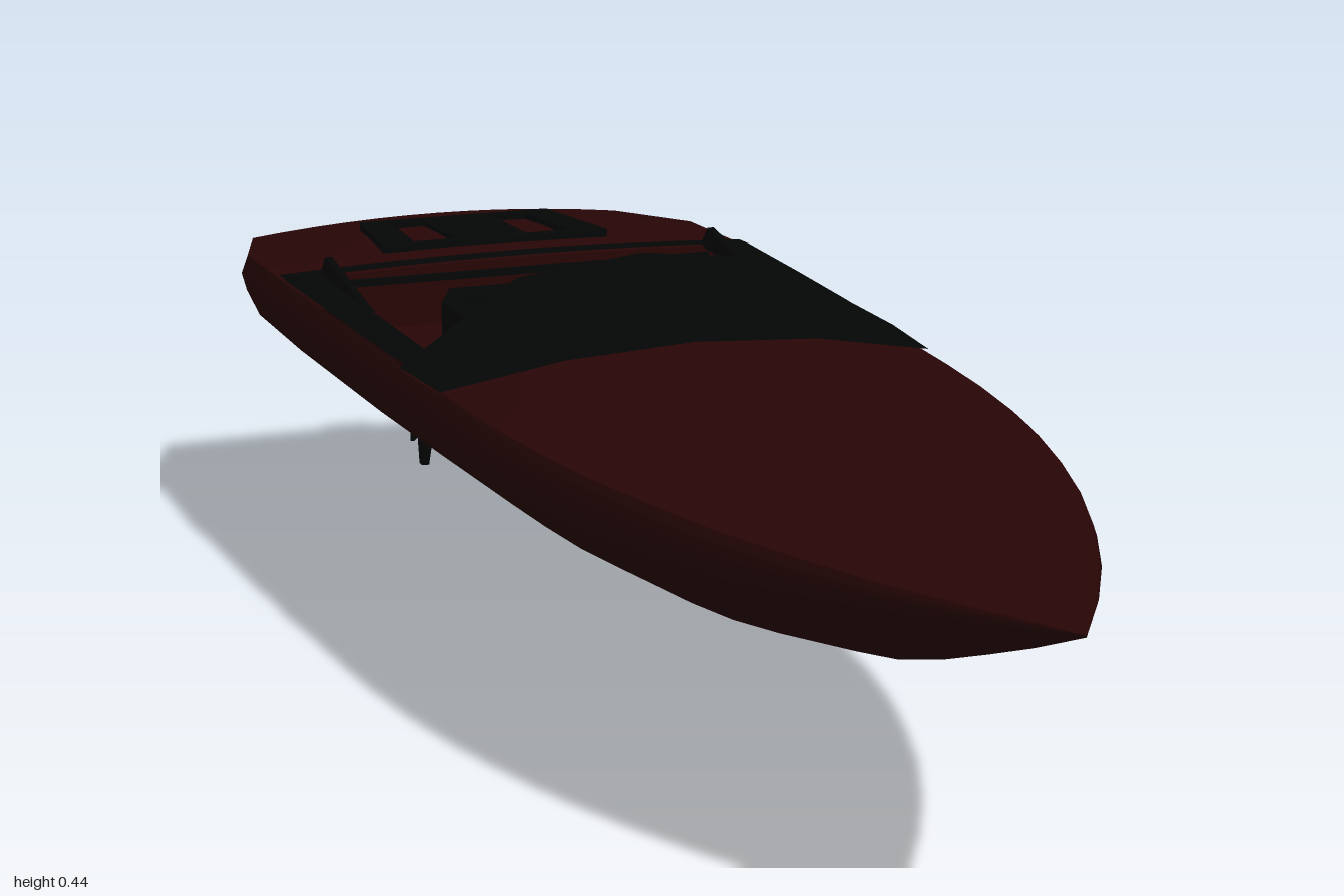
import * as THREE from 'three';

const red = new THREE.MeshStandardMaterial({ color: 0x270505, side: THREE.DoubleSide });
red.name = 'dark red paint';
const black = new THREE.MeshStandardMaterial({ color: 0x040505, side: THREE.DoubleSide });
black.name = 'black trim';

// Hull stations: z, half width, keel height, sheer height, deck crown
const STATIONS = [
  [-0.85, 0.238, 0.138, 0.322, 0.014], [-0.7, 0.285, 0.127, 0.335, 0.01],
  [-0.5, 0.29, 0.122, 0.342, 0.007], [-0.2, 0.284, 0.122, 0.343, 0.02],
  [0, 0.276, 0.124, 0.343, 0.033], [0.1, 0.273, 0.129, 0.343, 0.035],
  [0.2, 0.267, 0.135, 0.343, 0.033], [0.3, 0.256, 0.145, 0.343, 0.028],
  [0.4, 0.24, 0.158, 0.343, 0.022], [0.5, 0.217, 0.176, 0.343, 0.017],
  [0.6, 0.189, 0.198, 0.342, 0.012], [0.7, 0.153, 0.228, 0.342, 0.009],
  [0.8, 0.11, 0.263, 0.341, 0.006], [0.9, 0.059, 0.299, 0.341, 0.003],
  [1, 0, 0.338, 0.34, 0],
];
// Half section from sheer to keel, as fractions of width and depth
const SECTION = [[0.973, 1], [1, 0.9], [0.98, 0.8], [0.928, 0.65], [0.655, 0.377], [0.365, 0.16], [0, 0]];
const AFT = -0.52, FORE = -0.07; // cockpit ends

function station(z) {
  const i = Math.min(Math.max(STATIONS.findIndex((s) => s[0] >= z), 1), STATIONS.length - 1);
  const a = STATIONS[i - 1], b = STATIONS[i], t = (z - a[0]) / (b[0] - a[0]);
  return a.map((v, k) => v + (b[k] - v) * t);
}

// Skin over rows of points, each row having the same number of points
function loft(rows, flat = false) {
  const n = rows[0].length, index = [];
  for (let r = 0; r < rows.length - 1; r++) {
    for (let c = 0; c < n - 1; c++) {
      const a = r * n + c, d = a + n;
      index.push(a, a + 1, d, a + 1, d + 1, d);
    }
  }
  let g = new THREE.BufferGeometry();
  g.setAttribute('position', new THREE.Float32BufferAttribute(rows.flat(2), 3));
  g.setIndex(index);
  if (flat) g = g.toNonIndexed();
  g.computeVertexNormals();
  return g;
}

const hullRow = (z) => {
  const [, w, keel, sheer] = station(z);
  const rake = z < -0.84 ? 0.025 : 0;
  const pt = (s) => ([fx, fy]) => [s * fx * w, keel + fy * (sheer - keel), z + rake * (1 - fy)];
  return [...SECTION.map(pt(-1)), ...SECTION.slice(0, -1).reverse().map(pt(1))];
};
const deckEdge = (z) => SECTION[0][0] * station(z)[1];
const deckY = (x, z) => {
  const [, , , sheer, crown] = station(z);
  return sheer + crown * (1 - (x / (deckEdge(z) || 1)) ** 2);
};
// Deck row from +x to -x
const deckRow = (z, lift = 0) => Array.from({ length: 13 }, (_, i) => {
  const x = deckEdge(z) * (1 - i / 6);
  return [x, deckY(x, z) + lift, z];
});

const toShape = (pts) => new THREE.Shape(pts.map(([x, y]) => new THREE.Vector2(x, y)));
const extrude = (shape, depth) => new THREE.ExtrudeGeometry(shape, { depth, bevelEnabled: false });
// Plate from a [z, y] side outline, centred on x = 0
const sidePlate = (pts, w) => extrude(toShape(pts), w).translate(0, 0, -w / 2).rotateY(-Math.PI / 2);
// Plate from an [x, z] plan outline, its top at y = 0
const planPlate = (shape, h) => extrude(shape, h).rotateX(Math.PI / 2);

export function createModel() {
  const boat = new THREE.Group();
  boat.name = 'speedboat';
  const add = (name, geometry, material, x = 0, y = 0, z = 0, parent = boat) => {
    const m = new THREE.Mesh(geometry, material);
    m.name = name;
    m.position.set(x, y, z);
    parent.add(m);
    return m;
  };
  const box = (name, w, h, d, material, x, y, z, parent) =>
    add(name, new THREE.BoxGeometry(w, h, d), material, x, y, z, parent);

  // Hull, transom and decks
  const zs = STATIONS.map((s) => s[0]);
  add('hull', loft(zs.map(hullRow)), red);
  const stern = [...hullRow(-0.85), ...deckRow(-0.85)];
  add('transom', loft([stern.map(() => [0, 0.25, -0.84]), stern], true), red);
  add('foredeck', loft([FORE, ...zs.filter((z) => z > FORE)].map((z) => deckRow(z))), red);
  add('aftDeck', loft([-0.85, -0.7, AFT].map((z) => deckRow(z))), red);
  add('rearDeckBand', loft([-0.545, AFT + 0.006].map((z) => deckRow(z, 0.004))), black);

  // Cockpit tub with end walls
  const tub = [[0.24, 0.345], [0.233, 0.262], [0.168, 0.211], [-0.168, 0.211], [-0.233, 0.262], [-0.24, 0.345]];
  add('cockpitTub', loft([AFT, FORE].map((z) => tub.map(([x, y]) => [x, y, z])), true), red);
  for (const [name, z] of [['cockpitRearWall', AFT], ['dashboardWall', FORE]]) {
    const top = [-0.24, -0.12, 0, 0.12, 0.24].map((x) => [x, deckY(x, z)]);
    add(name, new THREE.ShapeGeometry(toShape([...tub.slice(1, 5), ...top])), red, 0, 0, z);
  }

  // Gunwales, side fins and grab handles, mirrored
  for (const s of [1, -1]) {
    add('gunwale', loft([AFT, -0.35, -0.2, FORE, 0.02].map((z) => {
      const e = deckEdge(z);
      const row = [[e, deckY(e, z) + 0.003, z], [0.24, deckY(0.24, z) + 0.004, z]];
      return s > 0 ? row : row.reverse().map(([x, y, q]) => [-x, y, q]);
    })), black);
    add('sideFin', sidePlate([[-0.535, 0.342], [-0.34, 0.342], [-0.51, 0.369]], 0.008), black, s * 0.232);
    box('grabHandle', 0.02, 0.02, 0.08, black, s * 0.215, 0.315, -0.18);
  }

  // Windshield with a lining just beneath
  const half = [[[0.279, 0.345, -0.075], [0.142, 0.425, -0.1]], [[0.271, 0.345, 0.04], [0.14, 0.37, 0.052]]];
  const mid = [[0, 0.44, -0.105], [0, 0.38, 0.06]];
  const screen = half.map((h, i) => [...h, mid[i], ...[...h].reverse().map(([x, y, z]) => [-x, y, z])]);
  add('windshield', loft(screen, true), black);
  add('windshieldLining', loft(screen.map((r) => r.map(([x, y, z]) => [x * 0.99, y - 0.004, z])), true), red);

  // Helm
  box('instrumentPod', 0.1, 0.03, 0.05, black, -0.11, 0.37, -0.06);
  const wheel = add('steeringWheel', new THREE.TorusGeometry(0.03, 0.005, 6, 20), black, -0.11, 0.33, -0.095);
  wheel.rotation.x = 0.4;
  box('steeringColumn', 0.012, 0.012, 0.04, black, -0.11, 0.325, -0.085);

  // Bucket seats: U-shaped shells whose rims drop slightly towards the front
  const outer = [[-0.06, 0.07], [-0.078, -0.02], [-0.055, -0.065]];
  const inner = [[0.045, 0.07], [0.055, -0.02], [0.04, -0.04]];
  const flip = (pts) => [...pts].reverse().map(([x, y]) => [-x, y]);
  const shell = planPlate(toShape([...outer, ...flip(outer), ...inner, ...flip(inner)]), 0.169);
  const p = shell.attributes.position;
  for (let i = 0; i < p.count; i++) {
    if (p.getY(i) > -0.01) p.setY(i, -0.014 * (p.getZ(i) + 0.065) / 0.135);
  }
  shell.computeVertexNormals();
  for (const x of [0.11, -0.11]) {
    const seat = new THREE.Group();
    seat.name = 'bucketSeat';
    seat.position.set(x, 0.38, -0.2);
    boat.add(seat);
    add('seatShell', shell, black, 0, 0, 0, seat);
    box('seatCushion', 0.1, 0.09, 0.11, black, 0, -0.124, 0.015, seat);
  }

  // Rear bench with dark piping
  box('rearBench', 0.4, 0.045, 0.14, red, 0, 0.2575, -0.445);
  box('benchFrontPiping', 0.45, 0.006, 0.006, black, 0, 0.281, -0.37);
  box('benchDivider', 0.008, 0.012, 0.14, black, 0, 0.283, -0.445);
  box('benchBackPiping', 0.46, 0.008, 0.006, black, 0, 0.335, -0.513);

  // Engine hatch, sloping down aft
  const hatch = new THREE.Group();
  hatch.name = 'engineHatch';
  hatch.position.set(0, 0.354, -0.61);
  hatch.rotation.x = -0.04;
  boat.add(hatch);
  const frame = toShape([[-0.138, 0], [-0.118, -0.168], [0.118, -0.168], [0.138, 0]]);
  frame.holes.push(new THREE.Path([[-0.095, -0.018], [0.095, -0.018], [0.085, -0.15], [-0.085, -0.15]]
    .map(([x, z]) => new THREE.Vector2(x, z))));
  add('hatchFrame', planPlate(frame, 0.015), black, 0, 0, 0, hatch);
  box('hatchVent', 0.088, 0.014, 0.14, black, 0, -0.008, -0.08, hatch);

  // Stern drive
  const drive = new THREE.Group();
  drive.name = 'sternDrive';
  boat.add(drive);
  box('driveBracket', 0.09, 0.1, 0.035, black, 0, 0.225, -0.845, drive);
  add('upperLeg', sidePlate([[-0.84, 0.2], [-0.87, 0.165], [-0.9, 0.145], [-0.945, 0.145],
    [-0.94, 0.21], [-0.92, 0.268], [-0.85, 0.285]], 0.06), black, 0, 0, 0, drive);
  add('lowerLeg', sidePlate([[-0.87, 0.15], [-0.955, 0.15], [-0.935, 0.1], [-0.93, 0.06],
    [-0.885, 0.06], [-0.865, 0.1]], 0.018), black, 0, 0, 0, drive);
  add('skeg', sidePlate([[-0.88, 0.065], [-0.935, 0.065], [-0.922, 0], [-0.91, 0]], 0.009), black, 0, 0, 0, drive);
  box('cavitationPlate', 0.075, 0.008, 0.1, black, 0, 0.145, -0.95, drive);
  add('propellerHub', new THREE.CylinderGeometry(0.019, 0.013, 0.095, 10).rotateX(Math.PI / 2),
    black, 0, 0.075, -0.922, drive);
  for (let i = 0; i < 4; i++) {
    const arm = new THREE.Group();
    arm.name = 'propellerBlade';
    arm.position.set(0, 0.075, -0.948);
    arm.rotation.z = i * Math.PI / 2 - 0.06;
    drive.add(arm);
    box('blade', 0.038, 0.005, 0.026, black, 0.031, 0, 0, arm).rotation.x = 0.5;
  }
  return boat;
}
